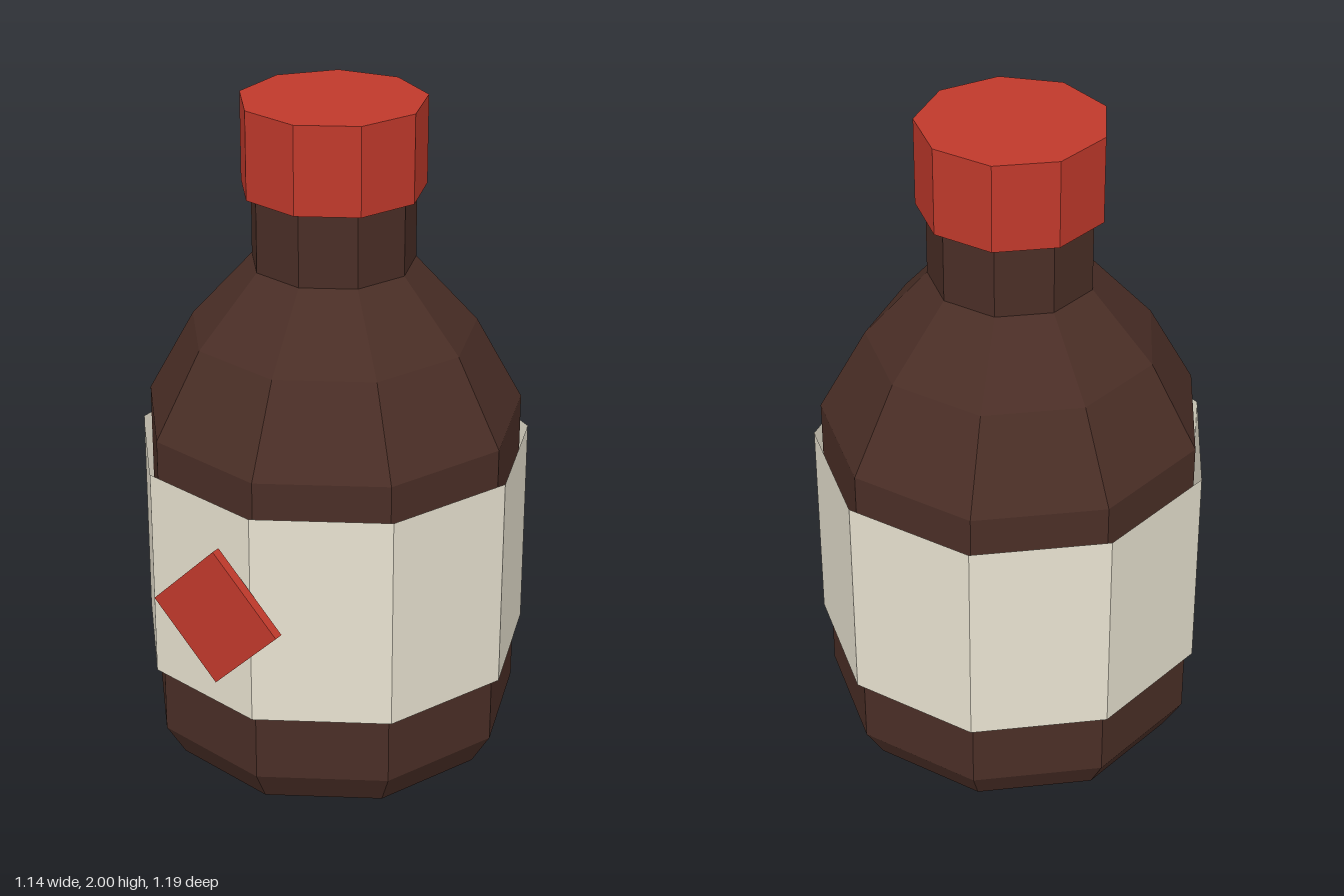
import * as THREE from 'three';

const SIDES = 9;

function material(color, side = THREE.FrontSide) {
  return new THREE.MeshStandardMaterial({ color, flatShading: true, side });
}

// Faceted ring of [radius, height] points, with one corner on +x
function turned(name, profile, mat) {
  const points = profile.map(([r, y]) => new THREE.Vector2(r, y));
  const mesh = new THREE.Mesh(new THREE.LatheGeometry(points, SIDES, Math.PI / 2), mat);
  mesh.name = name;
  return mesh;
}

export function createModel() {
  const bottle = new THREE.Group();
  bottle.name = 'bottle';
  const red = material(0xc0392b);

  // Glass: bevelled foot, straight wall, two-step shoulder and neck
  bottle.add(turned('glassBody', [
    [0, 0], [0.504, 0], [0.563, 0.1], [0.563, 1.06],
    [0.424, 1.315], [0.241, 1.52], [0.241, 1.76], [0, 1.76],
  ], material(0x4a2e26)));

  // Screw cap, closed top and bottom
  bottle.add(turned('cap', [[0, 1.74], [0.27, 1.74], [0.27, 2], [0, 2]], red));

  // Paper label: an open band standing just off the glass
  bottle.add(turned('label', [[0.587, 0.31], [0.587, 0.96]],
    material(0xe8e2d0, THREE.DoubleSide)));

  // Diamond badge in front of the label
  const badge = new THREE.Mesh(new THREE.BoxGeometry(0.3, 0.3, 0.028), red);
  badge.name = 'diamondBadge';
  badge.position.set(0, 0.63, 0.597);
  badge.rotation.z = Math.PI / 4;
  bottle.add(badge);

  // Centre the odd-sided outline on the origin
  bottle.position.set(-0.018, 0, -0.019);
  const model = new THREE.Group();
  model.name = 'bottleModel';
  model.add(bottle);
  return model;
}
